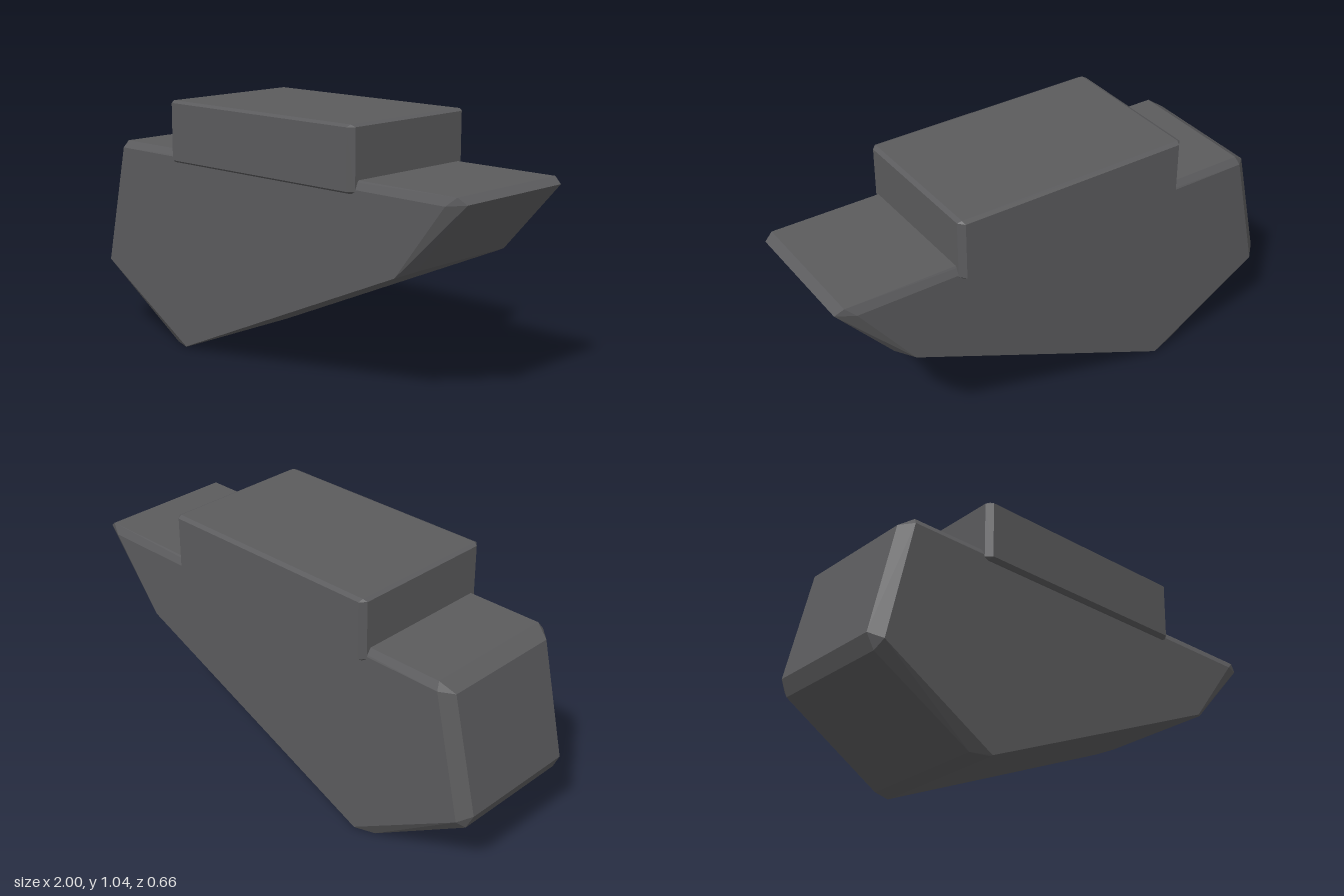
import * as THREE from 'three';
import { ConvexGeometry } from 'three/addons/geometries/ConvexGeometry.js';

// Convex solid from points on the +z half, mirrored across z = 0
function mirroredSolid(name, points, material) {
  const all = points.flatMap(([x, y, z]) => [new THREE.Vector3(x, y, z), new THREE.Vector3(x, y, -z)]);
  const mesh = new THREE.Mesh(new ConvexGeometry(all), material);
  mesh.name = name;
  return mesh;
}

export function createModel() {
  const group = new THREE.Group();
  group.name = 'model';
  const darkGrey = new THREE.MeshStandardMaterial({ color: 0x5b5b5d });
  darkGrey.name = 'darkGrey';

  // Wedge body: narrower outer rim plus the broad flat side face
  const rim = [
    [-0.83, 0.84, 0.285], [-0.89, 0.80, 0.26], [-1, 0.325, 0.26], [-0.97, 0.262, 0.265],
    [-0.54, 0.002, 0.275], [-0.46, 0, 0.3], [0.765, 0.538, 0.255], [1, 0.815, 0.275], [0.965, 0.84, 0.288],
  ];
  const side = [
    [-0.84, 0.81, 0.305], [-0.955, 0.30, 0.305], [-0.455, 0.004, 0.305],
    [0.70, 0.51, 0.305], [0.925, 0.805, 0.305],
  ];
  group.add(mirroredSolid('body', [...rim, ...side], darkGrey));

  // Chamfered block on top: three points at every corner
  const block = [];
  for (const sx of [-1, 1]) {
    for (const [yEnd, yInner] of [[0.79, 0.8], [1.045, 1.036]]) {
      block.push([sx * 0.485, yInner, 0.33], [sx * 0.507, yInner, 0.305], [sx * 0.49, yEnd, 0.312]);
    }
  }
  group.add(mirroredSolid('topBlock', block, darkGrey));

  return group;
}
